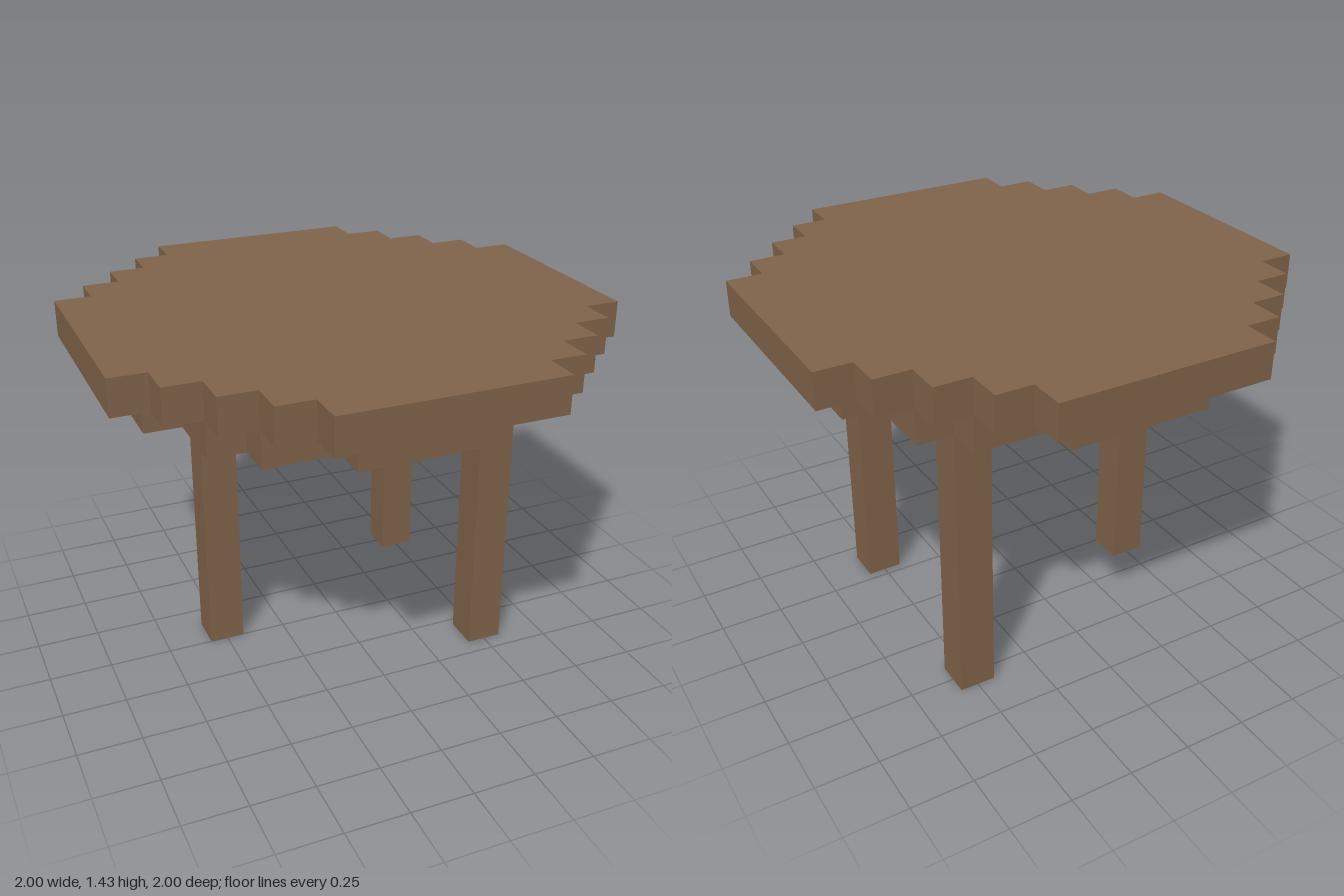
import * as THREE from 'three';

const U = 1 / 7; // edge length of one block

export function createModel() {
  const table = new THREE.Group();
  table.name = 'steppedRoundTable';
  const wood = new THREE.MeshStandardMaterial({ color: 0x80644a, flatShading: true });
  wood.name = 'brown wood';
  const legWood = wood.clone();
  legWood.side = THREE.DoubleSide; // legs are open tubes

  // Stepped disc, one block thick; the quarter outline is mirrored into all four quadrants
  function addSlab(name, quarter, level) {
    const mirrored = (sx, sy) => quarter.map(([x, y]) => new THREE.Vector2(x * sx * U, y * sy * U));
    const outline = [
      ...mirrored(1, 1),
      ...mirrored(-1, 1).reverse(),
      ...mirrored(-1, -1),
      ...mirrored(1, -1).reverse(),
    ];
    const geometry = new THREE.ExtrudeGeometry(new THREE.Shape(outline), { depth: U, bevelEnabled: false });
    geometry.rotateX(-Math.PI / 2);
    const slab = new THREE.Mesh(geometry, wood);
    slab.name = name;
    slab.position.y = level * U;
    table.add(slab);
  }

  addSlab('tableTop', [[7, 3], [6, 3], [6, 4], [5, 4], [5, 5], [4, 5], [4, 6], [3, 6], [3, 7]], 9);
  addSlab('underTop', [[6, 2], [5, 2], [5, 4], [4, 4], [4, 5], [2, 5], [2, 6]], 8);

  // Three square legs, open at the foot
  const legGeometry = new THREE.CylinderGeometry(U * Math.SQRT1_2, U * Math.SQRT1_2, 8 * U, 4, 1, true);
  legGeometry.rotateY(Math.PI / 4);
  const legs = [['frontLeg', 3.5, 2.5], ['backLeg', 3.5, -3.5], ['sideLeg', -3.5, -0.5]];
  for (const [name, x, z] of legs) {
    const leg = new THREE.Mesh(legGeometry, legWood);
    leg.name = name;
    leg.position.set(x * U, 4 * U, z * U);
    table.add(leg);
  }
  return table;
}
